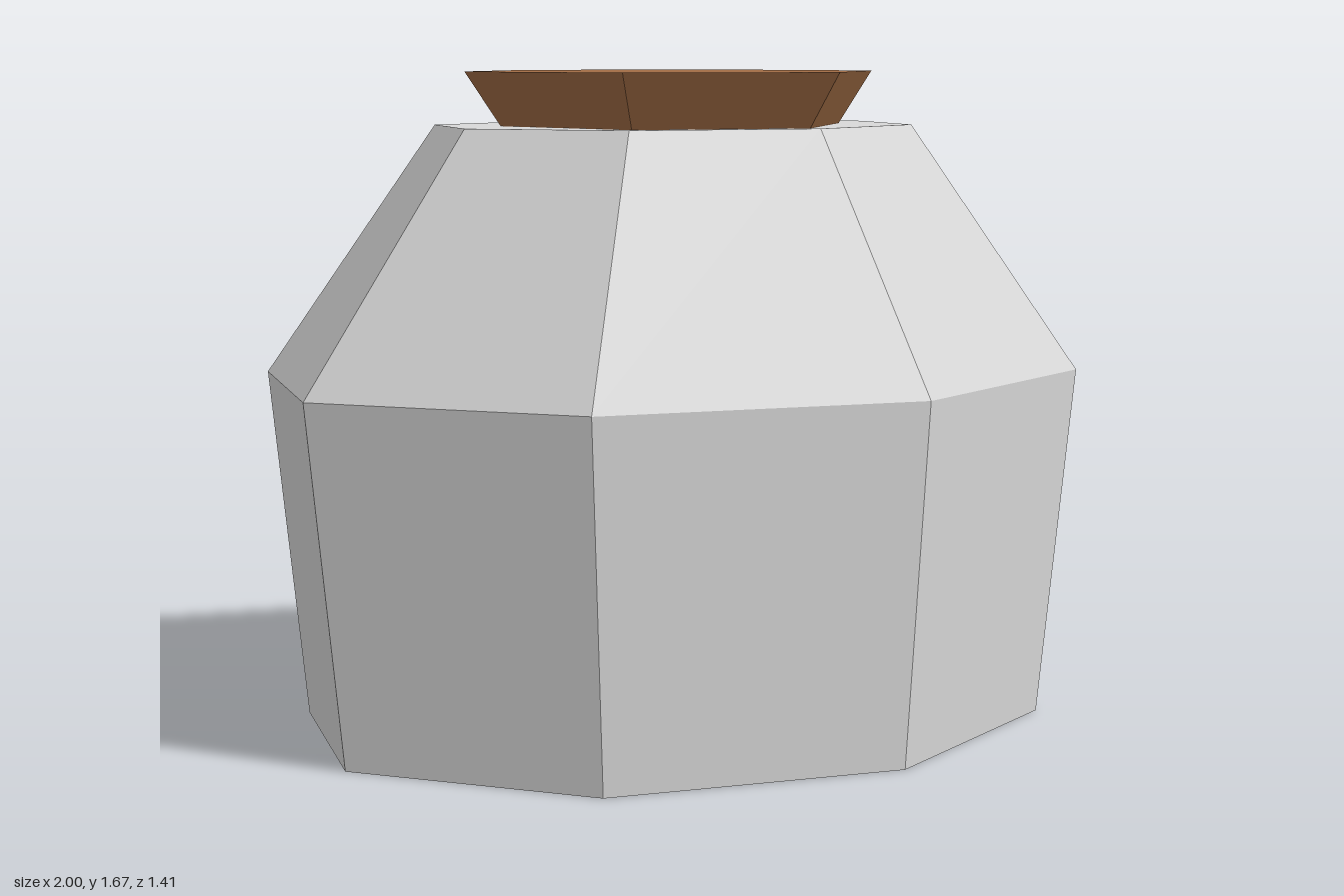
import * as THREE from 'three';

const glass = new THREE.MeshStandardMaterial({ color: 0xd9d9d9, flatShading: true });
glass.name = 'pale grey';
const cork = new THREE.MeshStandardMaterial({ color: 0xa26d45, flatShading: true });
cork.name = 'cork brown';

// Eight-sided body rings, bottom to top: height, half width, half depth
const RINGS = [
  [0, 0.915, 0.665],
  [0.905, 1, 0.707],
  [1.535, 0.58, 0.42],
];

function makeBody() {
  // Unit octagon with flat sides facing the axes; each ring is scaled on its own
  const r = 1 / Math.cos(Math.PI / 8);
  const geo = new THREE.CylinderGeometry(r, r, 2, 8, 2, false, Math.PI / 8);
  const p = geo.attributes.position;
  for (let i = 0; i < p.count; i++) {
    const [y, halfX, halfZ] = RINGS[Math.round(p.getY(i)) + 1];
    p.setXYZ(i, p.getX(i) * halfX, y, p.getZ(i) * halfZ);
  }
  const flat = geo.toNonIndexed();
  flat.computeVertexNormals();
  const body = new THREE.Mesh(flat, glass);
  body.name = 'jarBody';
  return body;
}

function makeStopper() {
  // Six-sided stopper, wider at the top, corners pointing to the sides
  const height = 0.135;
  const geo = new THREE.CylinderGeometry(0.54, 0.45, height, 6, 1, false, Math.PI / 6).toNonIndexed();
  geo.computeVertexNormals();
  const stopper = new THREE.Mesh(geo, cork);
  stopper.position.y = 1.535 + height / 2;
  stopper.name = 'stopper';
  return stopper;
}

export function createModel() {
  const jar = new THREE.Group();
  jar.name = 'jar';
  jar.add(makeBody(), makeStopper());
  return jar;
}
